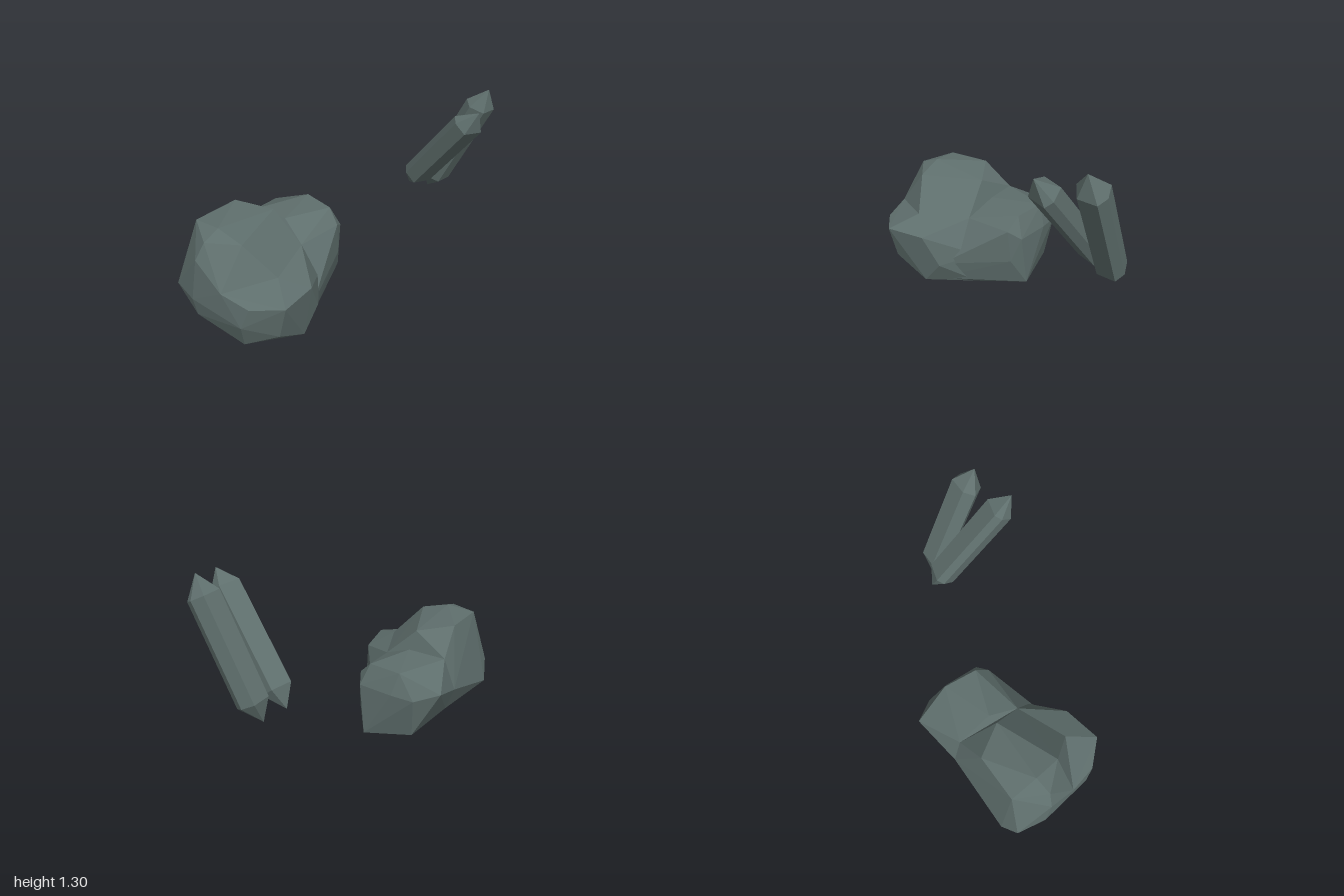
import * as THREE from 'three';
import { ConvexGeometry } from 'three/addons/geometries/ConvexGeometry.js';

const stone = new THREE.MeshStandardMaterial({ color: 0x5f6f6d });
stone.name = 'slate stone';

// Faceted solid spanned by a few corner points
function facetedSolid(name, corners) {
  const mesh = new THREE.Mesh(new ConvexGeometry(corners.map((c) => new THREE.Vector3(...c))), stone);
  mesh.name = name;
  return mesh;
}

// Double-pointed six-sided crystal: a hexagonal section [across, depth] swept between two tips
function crystal(name, bottom, top, section, tipLength) {
  const a = new THREE.Vector3(...bottom);
  const b = new THREE.Vector3(...top);
  const axis = b.clone().sub(a).normalize();
  const across = new THREE.Vector3(axis.y, -axis.x, 0).normalize();
  const depth = across.clone().cross(axis);
  const corners = [bottom, top];
  for (const [end, offset] of [[a, tipLength], [b, -tipLength]]) {
    for (const [u, v] of section) {
      corners.push(end.clone().addScaledVector(axis, offset)
        .addScaledVector(across, u).addScaledVector(depth, v).toArray());
    }
  }
  return facetedSolid(name, corners);
}

export function createModel() {
  const model = new THREE.Group();
  model.name = 'rockAndCrystals';

  const boulder = new THREE.Group();
  boulder.name = 'boulder';
  model.add(boulder);

  // Tall rounded dome at the front
  boulder.add(facetedSolid('boulderDome', [
    [-0.2, 0.66, 0.36], [-0.41, 0.70, 0.5], [-0.395, 0.69, 0.81], [-0.2, 0.705, 0.79], [-0.015, 0.655, 0.76],
    [-0.18, 0.665, 0.91], [-0.2, 0.56, 0.97], [0, 0.41, 0.95], [0.155, 0.45, 0.64], [0, 0.46, 0.31],
    [-0.44, 0.275, 0.965], [-0.24, 0.27, 0.995], [-0.24, 0.14, 0.97], [-0.495, 0.15, 0.86],
    [-0.45, 0.54, 0.31], [-0.52, 0.32, 0.34], [-0.43, 0.115, 0.4], [0.1, 0.05, 0.88],
  ]));

  // Low ledge spreading to the left side
  boulder.add(facetedSolid('boulderLedge', [
    [0, 0.41, 0.95], [0.155, 0.45, 0.64], [0.345, 0.375, 0.75], [0.195, 0.37, 0.9], [0.285, 0.365, 0.49],
    [0, 0.46, 0.31], [0.23, 0.155, 0.39], [0.145, 0.225, 0.93], [0.28, 0.14, 0.75], [0.24, 0.0, 0.52],
    [0.12, 0.01, 0.64], [0.1, 0.05, 0.88], [-0.24, 0.14, 0.97], [-0.24, 0.27, 0.995],
    [-0.495, 0.15, 0.86], [-0.43, 0.115, 0.4], [0.05, 0.235, 0.2], [0.05, 0.02, 0.2],
  ]));

  // Lower shoulder at the back
  boulder.add(facetedSolid('boulderShoulder', [
    [-0.45, 0.54, 0.31], [-0.2, 0.555, 0.27], [0, 0.46, 0.31], [-0.33, 0.555, -0.055], [-0.1, 0.55, -0.04],
    [-0.59, 0.45, 0.02], [-0.45, 0.4, -0.08], [-0.3, 0.41, -0.105], [-0.01, 0.46, -0.02], [-0.06, 0.41, -0.1],
    [-0.02, 0.235, -0.04], [-0.1, 0.065, -0.115], [-0.42, 0.12, -0.03], [-0.52, 0.32, 0.34],
    [-0.43, 0.115, 0.4], [0.045, 0.235, 0.2], [0.05, 0.02, 0.2], [0.2, 0.02, 0.45], [0.2, 0.155, 0.4],
  ]));

  // Pair of leaning crystals behind the boulder
  model.add(crystal('frontCrystal', [0.0, 0.525, -0.745], [0.585, 1.245, -0.655],
    [[0.05, 0.08], [0.085, -0.05], [0.04, -0.085], [-0.05, -0.08], [-0.085, 0.05], [-0.04, 0.085]], 0.13));
  model.add(crystal('backCrystal', [0.07, 0.475, -0.87], [0.478, 1.305, -0.905],
    [[0.075, 0.045], [0.075, -0.075], [0.01, -0.1], [-0.075, -0.07], [-0.075, 0.05], [-0.01, 0.1]], 0.13));

  return model;
}
